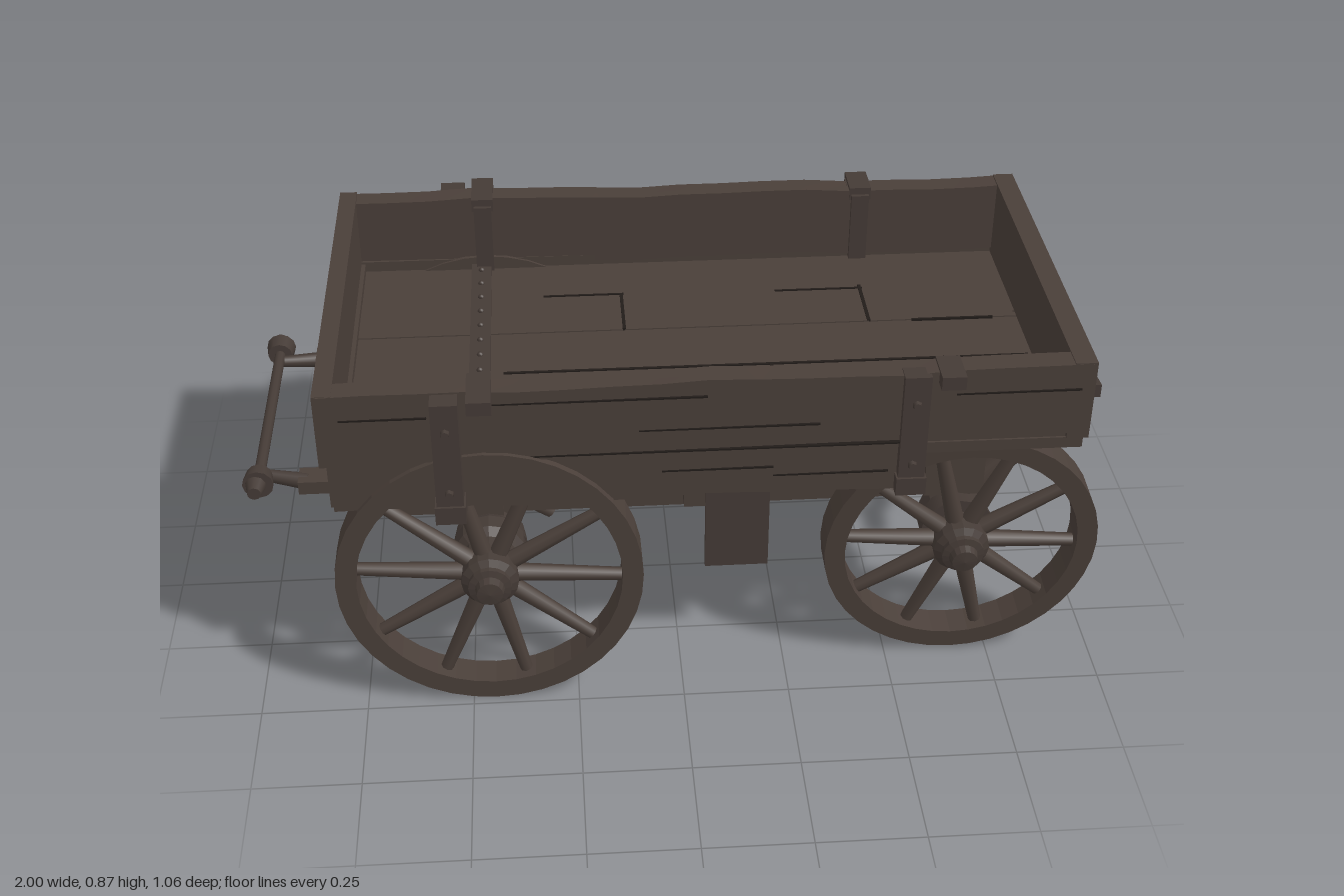
import * as THREE from 'three';

const wood = new THREE.MeshStandardMaterial({ color: 0x4a3f39 });
wood.name = 'weathered wood';
const iron = new THREE.MeshStandardMaterial({ color: 0x453b36 });
iron.name = 'old iron';
const dark = new THREE.MeshStandardMaterial({ color: 0x211c19 });
dark.name = 'dark crack';

export function createModel() {
  const cart = new THREE.Group();
  cart.name = 'wagon';

  const add = (name, geometry, material = wood, parent = cart) => {
    const mesh = new THREE.Mesh(geometry, material);
    mesh.name = name;
    parent.add(mesh);
    return mesh;
  };
  // box from its limits
  const box = (name, [x0, x1], [y0, y1], [z0, z1], material = wood) => {
    const g = new THREE.BoxGeometry(x1 - x0, y1 - y0, z1 - z0);
    g.translate((x0 + x1) / 2, (y0 + y1) / 2, (z0 + z1) / 2);
    return add(name, g, material);
  };
  // rough board along x: worn edges, bed slightly wider at the rear
  const sideBoard = (name, x0, x1, y0, y1, s, thick, outer) => {
    const g = new THREE.BoxGeometry(x1 - x0, y1 - y0, thick, 16, 1, 1);
    g.translate((x0 + x1) / 2, (y0 + y1) / 2, s * (outer - thick / 2));
    const p = g.attributes.position;
    for (let i = 0; i < p.count; i++) {
      const x = p.getX(i);
      p.setY(i, p.getY(i) + 0.004 * Math.sin(x * 9 + s) + 0.002 * Math.sin(x * 23));
      p.setZ(i, p.getZ(i) - s * 0.012 * x);
    }
    g.computeVertexNormals();
    return add(name, g);
  };
  // straight round bar between two points
  const bar = (name, a, b, r0, r1, material = wood, sides = 10, parent = cart) => {
    const A = new THREE.Vector3(...a), B = new THREE.Vector3(...b);
    const mesh = add(name, new THREE.CylinderGeometry(r1, r0, A.distanceTo(B), sides), material, parent);
    mesh.position.copy(A).lerp(B, 0.5);
    mesh.quaternion.setFromUnitVectors(new THREE.Vector3(0, 1, 0), B.sub(A).normalize());
    return mesh;
  };
  // sharp-edged turned part whose axis is z; points are [radius, z]
  const turned = (points, sides) => {
    const pts = points.flatMap(([r, z]) => [new THREE.Vector2(r, z), new THREE.Vector2(r, z)]);
    const g = new THREE.LatheGeometry(pts.slice(1, -1), sides);
    g.rotateX(Math.PI / 2);
    const flat = g.toNonIndexed();
    flat.computeVertexNormals();
    return flat;
  };

  // floor planks, running under all four walls
  const seams = [-0.445, -0.25, -0.08, 0.1, 0.27, 0.445];
  for (let i = 0; i < 5; i++)
    box('floorPlank', [-0.78, 0.9], [0.64, 0.668 + (i % 2) * 0.003], [seams[i], seams[i + 1]]);
  for (const s of [-1, 1])
    box('floorEdge', [-0.77, 0.895], [0.655, 0.695], s > 0 ? [0.41, 0.44] : [-0.44, -0.41]);
  box('floorSeam', [-0.4, 0.85], [0.668, 0.674], [0.097, 0.104], dark);
  for (const [x, z0, z1] of [[-0.11, -0.25, -0.08], [-0.13, 0.12, 0.4], [0.49, -0.25, -0.08], [0.23, 0.1, 0.27]])
    box('floorCrack', [x, x + 0.008], [0.668, 0.674], [z0, z1], dark);
  for (const [x0, x1, z] of [[-0.3, -0.1, -0.25], [0.28, 0.5, -0.24], [-0.3, -0.12, 0.27], [0.6, 0.8, -0.08]])
    box('floorCrack', [x0, x1], [0.668, 0.674], [z, z + 0.005], dark);

  // riveted strap across the floor
  box('floorStrap', [-0.48, -0.43], [0.665, 0.683], [-0.41, 0.41], iron);
  for (let i = 0; i < 12; i++) {
    const rivet = add('floorRivet', new THREE.SphereGeometry(0.008, 6, 4), iron);
    rivet.position.set(-0.455, 0.684, -0.37 + i * 0.0673);
  }

  for (const s of [-1, 1]) {
    const span = (a, b) => (s > 0 ? [a, b] : [-b, -a]);
    // side boards
    sideBoard('upperSideBoard', -0.795, 0.905, 0.682, 0.862, s, 0.055, 0.463);
    sideBoard('lowerSideBoard', -0.78, 0.54, 0.555, 0.69, s, 0.04, 0.457);
    for (const [x0, x1, y] of [[-0.75, -0.56, 0.8], [-0.42, 0.05, 0.825], [-0.1, 0.3, 0.74], [0.2, 0.46, 0.6], [0.6, 0.88, 0.8], [-0.05, 0.2, 0.625], [-0.78, 0.48, 0.684]]) {
      const z = 0.463 - 0.006 * (x0 + x1) - (y < 0.68 ? 0.006 : 0);
      box('sideCrack', [x0, x1], [y, y + 0.004], span(z - 0.006, z + 0.003), dark);
    }
    // iron straps and the clips over the board tops
    for (const [x, z, clip, clipZ] of [[-0.52, 0.515, -0.445, 0.52], [0.51, 0.474, s > 0 ? 0.585 : 0.51, 0.49]]) {
      box('sideStrap', [x - 0.03, x + 0.03], [0.555, 0.86], span(0.43, z), iron);
      box('strapFoot', [x - 0.034, x + 0.034], [0.55, 0.595], span(0.43, z + 0.006), iron);
      box('boardClip', [clip - 0.027, clip + 0.027], [0.835, 0.868], span(0.4, clipZ), iron);
      box('clipInside', [clip - 0.022, clip + 0.022], [0.67, 0.85], span(0.39, 0.42), iron);
      for (const y of [0.63, 0.79])
        bar('strapBolt', [x, y, s * z], [x, y, s * (z + 0.01)], 0.011, 0.009, iron, 6);
    }
  }
  // end boards
  box('tailUpperBoard', [-0.802, -0.76], [0.68, 0.865], [-0.47, 0.47]);
  box('tailLowerBoard', [-0.787, -0.75], [0.565, 0.69], [-0.46, 0.46]);
  box('headBoard', [0.86, 0.91], [0.67, 0.868], [-0.452, 0.452]);
  for (const [z0, z1, y] of [[-0.38, 0.02, 0.845], [0.03, 0.22, 0.715], [-0.44, -0.3, 0.77], [0.1, 0.4, 0.8]])
    box('endCrack', [0.906, 0.913], [y, y + 0.004], [z0, z1], dark);

  // under-frame
  for (const s of [-1, 1]) {
    const span = (a, b) => (s > 0 ? [a, b] : [-b, -a]);
    box('frameRail', [-0.66, 0.74], [0.405, 0.47], span(0.235, 0.285));
    bar('railUpturnedEnd', [0.72, 0.435, s * 0.265], [0.83, 0.54, s * 0.265], 0.032, 0.026, wood, 8);
    box('bedJoist', [-0.74, 0.5], [0.6, 0.645], span(0.24, 0.3));
    box('hangingPlate', [0.06, 0.21], [0.26, 0.48], span(0.325, 0.34), iron);
    box('plateBracket', [0.01, 0.21], [0.435, 0.487], span(0.26, 0.335));
    box('rearBlock', [-0.67, -0.56], [0.45, 0.57], span(0.24, 0.33));
    box('rearPost', [-0.48, -0.41], [0.38, 0.645], span(0.25, 0.32));
    box('frontBlock', [0.58, 0.72], [0.42, 0.58], span(0.25, 0.31));
    bar('rearBrace', [-0.3, 0.38, s * 0.25], [-0.52, 0.55, s * 0.29], 0.02, 0.02);
  }
  box('frontBolster', [0.6, 0.72], [0.405, 0.58], [-0.275, 0.275]);
  box('frontTurntable', [0.56, 0.76], [0.58, 0.645], [-0.12, 0.12]);
  box('rearBolster', [-0.5, -0.39], [0.4, 0.48], [-0.3, 0.3]);
  box('rearUpperBeam', [-0.49, -0.4], [0.58, 0.645], [-0.4, 0.4]);
  box('rearCrossbar', [-0.64, -0.57], [0.41, 0.465], [-0.26, 0.26]);
  box('middleCrossbar', [0.1, 0.17], [0.41, 0.465], [-0.26, 0.26]);
  box('middleFloorBeam', [0.1, 0.18], [0.6, 0.645], [-0.42, 0.42]);

  // wheels; outer side is +z before mirroring, which also mirrors the spokes
  const makeWheel = (name, r, s) => {
    const wheel = new THREE.Group();
    wheel.name = name;
    const i = r - 0.048, t = 0.037;
    add('wheelRim', turned([[i, -t], [r, -t], [r, t], [i, t], [i, -t]], 40), wood, wheel);
    for (let k = 0; k < 10; k++) {
      const a = (k - 0.12 * s) * Math.PI / 5, c = Math.cos(a), d = Math.sin(a);
      bar('spoke', [c * 0.04, d * 0.04, 0], [c * (i + 0.01), d * (i + 0.01), 0], 0.022, 0.015, wood, 8, wheel);
    }
    add('hub', turned([[0, -0.12], [0.075, -0.12], [0.085, -0.1], [0.085, -0.06], [0.066, -0.045], [0.066, 0.04], [0.05, 0.05],
      [0.05, 0.062], [0.034, 0.066], [0.03, 0.086], [0, 0.09]], 16), iron, wheel);
    return wheel;
  };
  for (const s of [-1, 1]) {
    for (const [name, x, y, z, r, tilt] of [
      ['rearWheel', -0.445, 0.352, 0.441, 0.352, 0], ['frontWheel', 0.66, 0.332, 0.362, 0.324, 0.08]]) {
      const wheel = makeWheel(name, r, s);
      wheel.position.set(x, y, s * z);
      wheel.rotation.set(s * tilt, s > 0 ? 0 : Math.PI, 0);
      cart.add(wheel);
      // stepped axle collars
      for (const [zi, zo, rad] of [[0.17, 0.21, 0.045], [0.2, 0.25, 0.055], [0.24, 0.3, 0.075], [0.29, 0.35, 0.09]])
        bar('axleCollar', [x, 0.34, s * zi], [x, 0.34, s * zo], rad * 0.92, rad, iron, 16);
    }
  }
  for (const x of [-0.445, 0.66]) bar('axle', [x, 0.34, -0.33], [x, 0.34, 0.33], 0.036, 0.036, wood, 14);

  // rear push handle
  bar('handleBar', [-0.97, 0.52, -0.32], [-0.97, 0.52, 0.32], 0.013, 0.013, iron);
  for (const s of [-1, 1]) {
    bar('handleKnob', [-0.97, 0.52, s * 0.26], [-0.97, 0.52, s * 0.3], 0.03, 0.036, iron, 12);
    bar('handleTip', [-0.975, 0.52, s * 0.3], [-0.975, 0.52, s * 0.335], 0.024, 0.016, iron, 10);
    bar('handleArm', [-0.965, 0.51, s * 0.245], [-0.86, 0.5, s * 0.265], 0.014, 0.02, iron);
    box('handleArmRoot', [-0.88, -0.6], [0.485, 0.518], s > 0 ? [0.235, 0.295] : [-0.295, -0.235]);
  }

  // front draw bar, dipped in the middle
  const dip = [[0.23, 0.645], [0.12, 0.632], [0.075, 0.592], [-0.075, 0.592], [-0.12, 0.632], [-0.2, 0.645]];
  const outline = new THREE.Shape([
    ...dip.map(([z, y]) => new THREE.Vector2(-z, y + 0.017)),
    ...dip.slice().reverse().map(([z, y]) => new THREE.Vector2(-z, y - 0.017))]);
  const draw = add('drawBar', new THREE.ExtrudeGeometry(outline, { depth: 0.036, bevelEnabled: false }), iron);
  draw.rotation.y = Math.PI / 2;
  draw.position.x = 0.962;
  for (const s of [-1, 1]) {
    const path = new THREE.CatmullRomCurve3([[0.86, 0.675], [0.88, 0.632], [0.92, 0.618], [0.975, 0.62]]
      .map(([x, y]) => new THREE.Vector3(x, y, s * 0.11)));
    add('drawBarArm', new THREE.TubeGeometry(path, 12, 0.013, 8), iron);
  }
  return cart;
}
